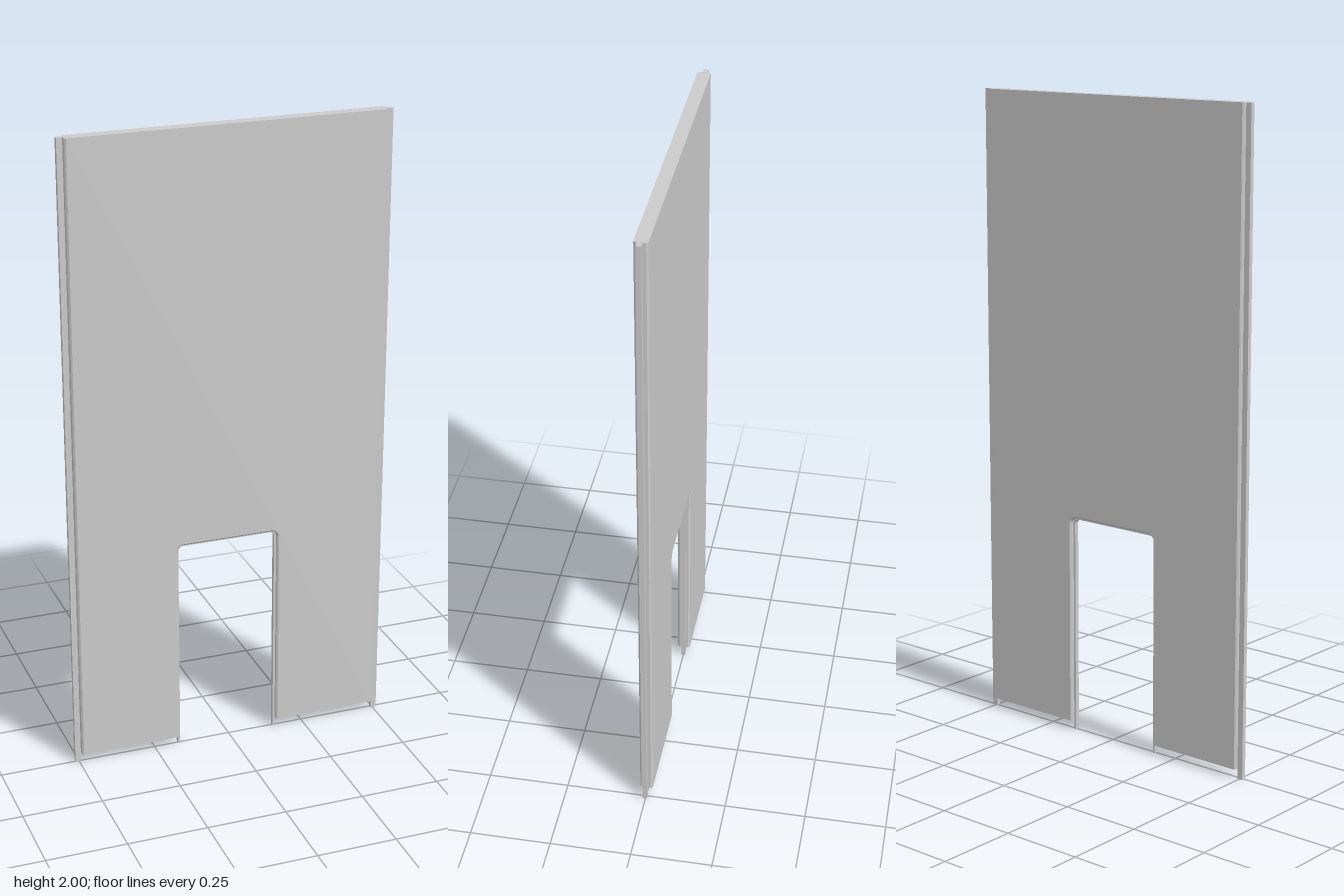
import * as THREE from 'three';

const TOP = 2, SILL = 0.03, HALF_W = 0.493, DEPTH = 0.04, BEVEL = 0.005;
const OPENING = { left: -0.173, right: 0.156, top: 0.697, radius: 0.022 };

const material = new THREE.MeshStandardMaterial({ color: 0xcccccc });

function addMesh(group, name, geometry) {
  const mesh = new THREE.Mesh(geometry, material);
  mesh.name = name;
  group.add(mesh);
  return mesh;
}

// Traces the round-cornered doorway from its lower right to its lower left, or back
function traceOpening(path, inset, bottom, reverse = false) {
  const l = OPENING.left + inset, r = OPENING.right - inset;
  const t = OPENING.top - inset, c = OPENING.radius - inset;
  if (reverse) {
    path.lineTo(l, bottom);
    path.lineTo(l, t - c);
    path.absarc(l + c, t - c, c, Math.PI, Math.PI / 2, true);
    path.absarc(r - c, t - c, c, Math.PI / 2, 0, true);
    path.lineTo(r, bottom);
  } else {
    path.lineTo(r, bottom);
    path.lineTo(r, t - c);
    path.absarc(r - c, t - c, c, 0, Math.PI / 2, false);
    path.absarc(l + c, t - c, c, Math.PI / 2, Math.PI, false);
    path.lineTo(l, bottom);
  }
}

// Notched panel: bevelled sides and doorway, square top and bottom
function panelGeometry() {
  const shape = new THREE.Shape();
  shape.moveTo(-HALF_W, SILL);
  traceOpening(shape, 0, SILL, true);
  shape.lineTo(HALF_W, SILL);
  shape.lineTo(HALF_W, TOP);
  shape.lineTo(-HALF_W, TOP);
  shape.closePath();
  const geometry = new THREE.ExtrudeGeometry(shape, {
    depth: DEPTH - 2 * BEVEL, curveSegments: 6,
    bevelEnabled: true, bevelThickness: BEVEL, bevelSize: BEVEL, bevelOffset: -BEVEL, bevelSegments: 1,
  });
  geometry.translate(0, 0, BEVEL - DEPTH / 2);
  const pos = geometry.attributes.position;
  for (let i = 0; i < pos.count; i++) {
    const y = pos.getY(i);
    if (y > TOP - 0.01) pos.setY(i, TOP);
    if (y < SILL + 0.01) pos.setY(i, SILL);
  }
  geometry.computeVertexNormals();
  return geometry;
}

// Thin lip lining the doorway, with feet reaching the floor
function lipGeometry() {
  const shape = new THREE.Shape();
  shape.moveTo(OPENING.right, 0);
  traceOpening(shape, 0, 0);
  traceOpening(shape, 0.007, 0, true);
  shape.closePath();
  const geometry = new THREE.ExtrudeGeometry(shape, { depth: 0.014, curveSegments: 6, bevelEnabled: false });
  geometry.translate(0, 0, -0.007);
  return geometry;
}

export function createModel() {
  const group = new THREE.Group();
  group.name = 'wallPanel';
  addMesh(group, 'panel', panelGeometry());
  addMesh(group, 'doorwayLip', lipGeometry());

  // Full-height joining tongues, slightly staggered in depth
  for (const [name, side, z] of [['leftTongue', 1, 0.002], ['rightTongue', -1, -0.003]]) {
    const tongue = addMesh(group, name, new THREE.BoxGeometry(0.018, TOP, 0.014));
    tongue.position.set(side * 0.503, TOP / 2, z);
  }
  return group;
}
